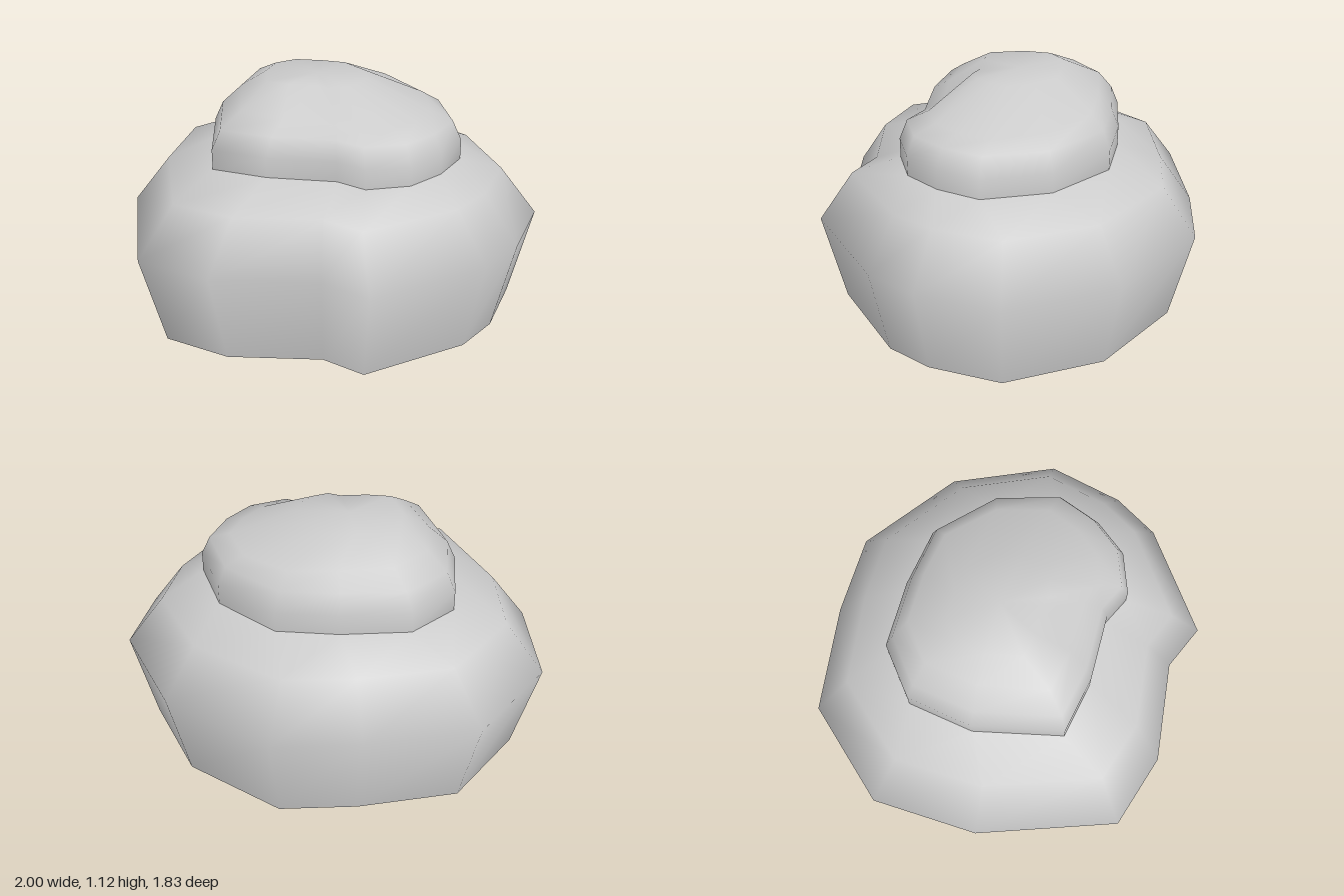
import * as THREE from 'three';

// Outlines seen from above as [x, z], starting at the back and running towards +x
const LOWER = [[-0.53, -0.9], [0, -0.915], [0.4, -0.87], [0.83, -0.48], [1, 0.04], [0.87, 0.41], [0.71, 0.62],
  [0.2, 0.91], [-0.01, 0.79], [-0.5, 0.79], [-0.84, 0.64], [-1, -0.02], [-0.93, -0.53]];
const UPPER = [[-0.28, -0.56], [0.04, -0.53], [0.32, -0.46], [0.55, -0.19], [0.61, 0.13], [0.51, 0.32], [0.37, 0.46],
  [0.17, 0.51], [0.04, 0.43], [-0.28, 0.4], [-0.54, 0.32], [-0.59, -0.1], [-0.51, -0.41]];

// A ring: the outline scaled about its middle, moved to (cx, cz), at a height that may vary
function ring(outline, scale, height, cx = 0, cz = 0, mx = 0, mz = 0) {
  return outline.map(([x, z]) => {
    const px = cx + (x - mx) * scale, pz = cz + (z - mz) * scale;
    return [px, typeof height === 'function' ? height(px, pz) : height, pz];
  });
}

// Skin a stack of rings, optionally closing the last one with a cap
function loft(name, rings, capCentre) {
  const n = rings[0].length, points = rings.flat(), index = [];
  for (let r = 0; r < rings.length - 1; r++) {
    for (let i = 0; i < n; i++) {
      const a = r * n + i, b = r * n + (i + 1) % n;
      index.push(a, a + n, b, b, a + n, b + n);
    }
  }
  if (capCentre) {
    const top = (rings.length - 1) * n;
    for (let i = 0; i < n; i++) index.push(points.length, top + (i + 1) % n, top + i);
    points.push(capCentre);
  }
  const geometry = new THREE.BufferGeometry();
  geometry.setAttribute('position', new THREE.Float32BufferAttribute(points.flat(), 3));
  geometry.setIndex(index);
  geometry.computeVertexNormals();
  const mesh = new THREE.Mesh(geometry, new THREE.MeshStandardMaterial({ color: 0xcccccc, side: THREE.DoubleSide }));
  mesh.name = name;
  return mesh;
}

export function createModel() {
  const group = new THREE.Group();
  group.name = 'roundedMound';

  // Broad lower tier, open underneath, drawn in to the foot of the upper tier
  group.add(loft('lowerTier', [
    ring(LOWER, 0.895, 0),
    ring(LOWER, 1, 0.45),
    ring(LOWER, 0.82, 0.68),
    ring(UPPER, 1, 0.765),
  ]));

  // Small upper tier: short wall, rounded shoulder and a raised crown set back to the left
  const shoulder = (x, z) => Math.max(0.985, 1.01 - 0.05 * x - 0.05 * z);
  group.add(loft('upperTier', [
    ring(UPPER, 1, 0.765),
    ring(UPPER, 1, 0.86),
    ring(UPPER, 0.93, 0.95, 0.01, -0.025, 0.01, -0.025),
    ring(UPPER, 0.77, shoulder, 0.01, -0.04, 0.01, -0.025),
    ring(UPPER, 0.41, 1.117, -0.08, -0.055, 0.01, -0.025),
  ], [-0.08, 1.12, -0.055]));

  return group;
}
